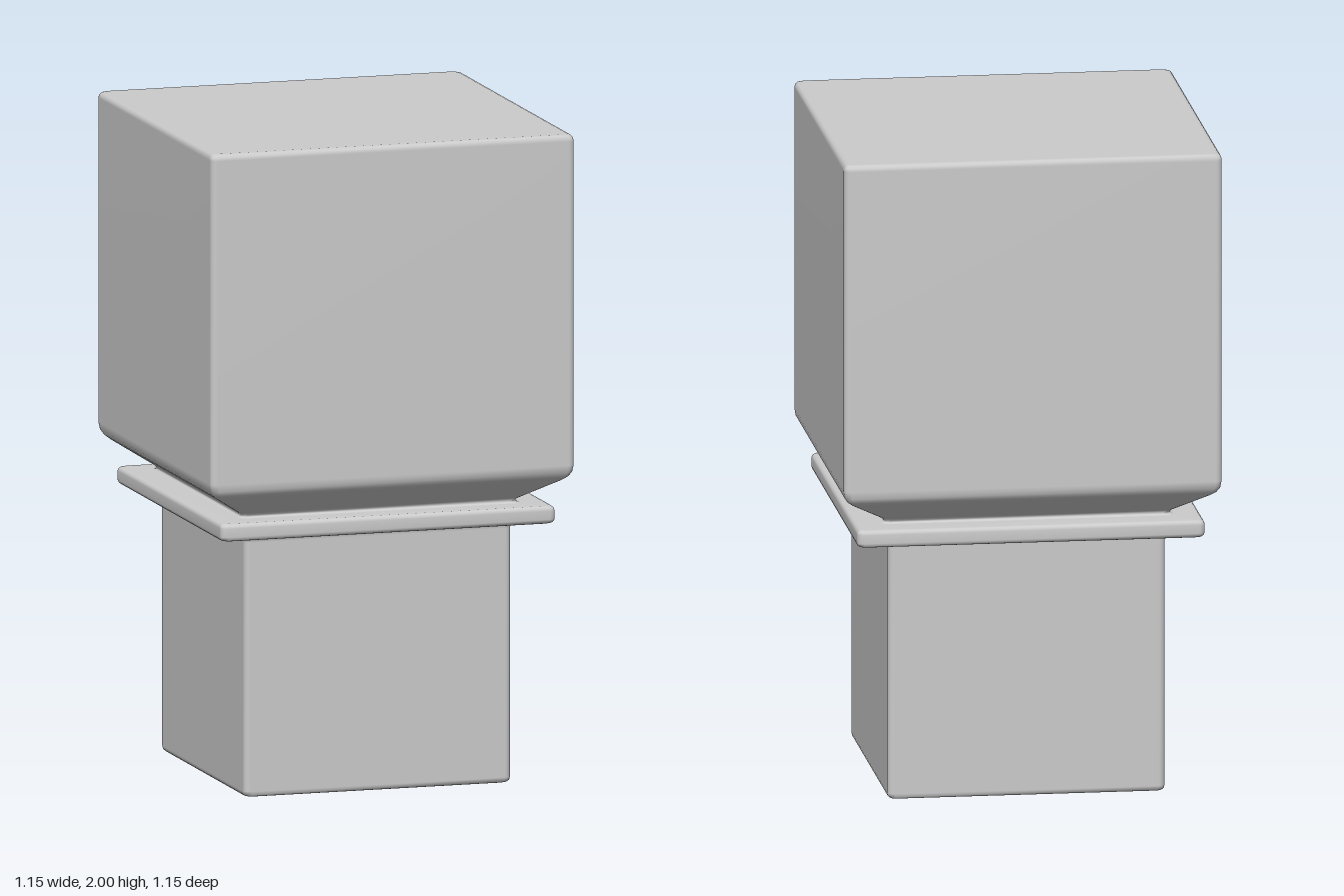
import * as THREE from 'three';

const CORNER = 0.02; // radius of the vertical edges
const STEPS = 4; // segments per rounded corner

// Points of a rounded square with the given half width
function squareRing(half, y) {
  const pts = [];
  const c = half - CORNER;
  for (let q = 0; q < 4; q++) {
    const mid = (q + 0.5) * Math.PI / 2;
    const cx = Math.sign(Math.cos(mid)) * c;
    const cz = Math.sign(Math.sin(mid)) * c;
    for (let s = 0; s <= STEPS; s++) {
      const a = (q + s / STEPS) * Math.PI / 2;
      pts.push(cx + CORNER * Math.cos(a), y, cz + CORNER * Math.sin(a));
    }
  }
  return pts;
}

// Loft rounded squares through a profile of [half width, height]
function squareLoft(name, profile, capBottom, capTop) {
  const n = 4 * (STEPS + 1);
  const pos = profile.flatMap(([h, y]) => squareRing(h, y));
  const index = [];
  for (let i = 0; i < profile.length - 1; i++) {
    for (let j = 0; j < n; j++) {
      const k = (j + 1) % n;
      const a = i * n + j, b = i * n + k;
      index.push(a, a + n, b, b, a + n, b + n);
    }
  }
  const cap = (row, up) => {
    const centre = pos.length / 3;
    pos.push(0, profile[row][1], 0);
    for (let j = 0; j < n; j++) {
      const a = row * n + j, b = row * n + (j + 1) % n;
      index.push(centre, up ? b : a, up ? a : b);
    }
  };
  if (capBottom) cap(0, false);
  if (capTop) cap(profile.length - 1, true);
  const geo = new THREE.BufferGeometry();
  geo.setAttribute('position', new THREE.Float32BufferAttribute(pos, 3));
  geo.setIndex(index);
  geo.computeVertexNormals();
  const mesh = new THREE.Mesh(geo, new THREE.MeshStandardMaterial({ color: 0xcccccc }));
  mesh.name = name;
  return mesh;
}

export function createModel() {
  const group = new THREE.Group();
  group.name = 'squarePost';

  // Lower shaft, flaring into the collar
  group.add(squareLoft('shaft', [
    [0.405, 0], [0.413, 0.002], [0.419, 0.008], [0.421, 0.018],
    [0.421, 0.78], [0.424, 0.793], [0.431, 0.801], [0.445, 0.805],
  ], true, false));

  // Thin projecting collar with softened edges
  group.add(squareLoft('collar', [
    [0.445, 0.805], [0.514, 0.805], [0.521, 0.807], [0.526, 0.812], [0.528, 0.819],
    [0.528, 0.845], [0.526, 0.852], [0.521, 0.857], [0.514, 0.859], [0.445, 0.859],
  ], false, false));

  // Large head with a sloping underside
  group.add(squareLoft('head', [
    [0.445, 0.859], [0.436, 0.862], [0.434, 0.867], [0.441, 0.874],
    [0.545, 0.94], [0.56, 0.952], [0.57, 0.967], [0.574, 0.99],
    [0.574, 1.98], [0.572, 1.99], [0.566, 1.997], [0.556, 2],
  ], false, true));

  return group;
}
